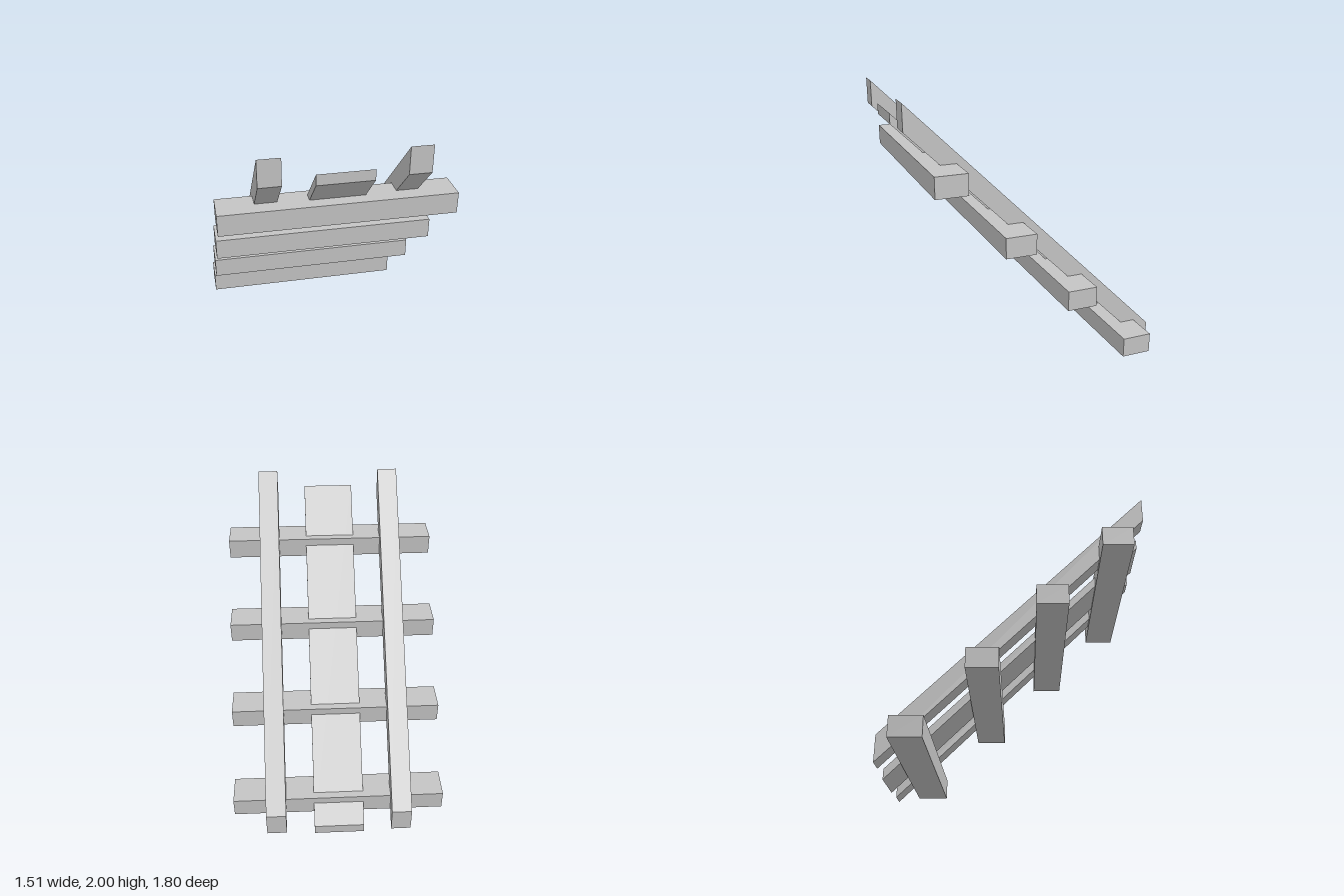
import * as THREE from 'three';

export function createModel() {
  const group = new THREE.Group();
  const grey = new THREE.MeshStandardMaterial({ color: 0xc4c4c4 });
  grey.name = 'plain grey';

  const add = (geometry, name, x, y, z) => {
    const mesh = new THREE.Mesh(geometry, grey);
    mesh.name = name;
    mesh.position.set(x, y, z);
    group.add(mesh);
  };

  // Box sheared up a 45 degree climb, so its ends stay vertical
  const slopedBeam = (width, height) => {
    const geometry = new THREE.BoxGeometry(width, height, 1.8);
    const p = geometry.attributes.position;
    for (let i = 0; i < p.count; i++) p.setY(i, p.getY(i) + p.getZ(i));
    geometry.computeVertexNormals();
    return geometry;
  };

  // Two side rails
  add(slopedBeam(0.142, 0.18), 'leftRail', 0.449, 1.01, 0);
  add(slopedBeam(0.142, 0.18), 'rightRail', -0.449, 1.01, 0);

  // Wide flat strip between the rails
  add(slopedBeam(0.357, 0.072), 'centreStrip', -0.002, 0.939, 0);

  // Level sleepers, stepped up the slope
  for (let i = 0; i < 4; i++) {
    add(new THREE.BoxGeometry(1.51, 0.141, 0.213), 'sleeper' + (i + 1),
      -0.002, 0.174 + i * 0.451, -0.677 + i * 0.451);
  }

  return group;
}
